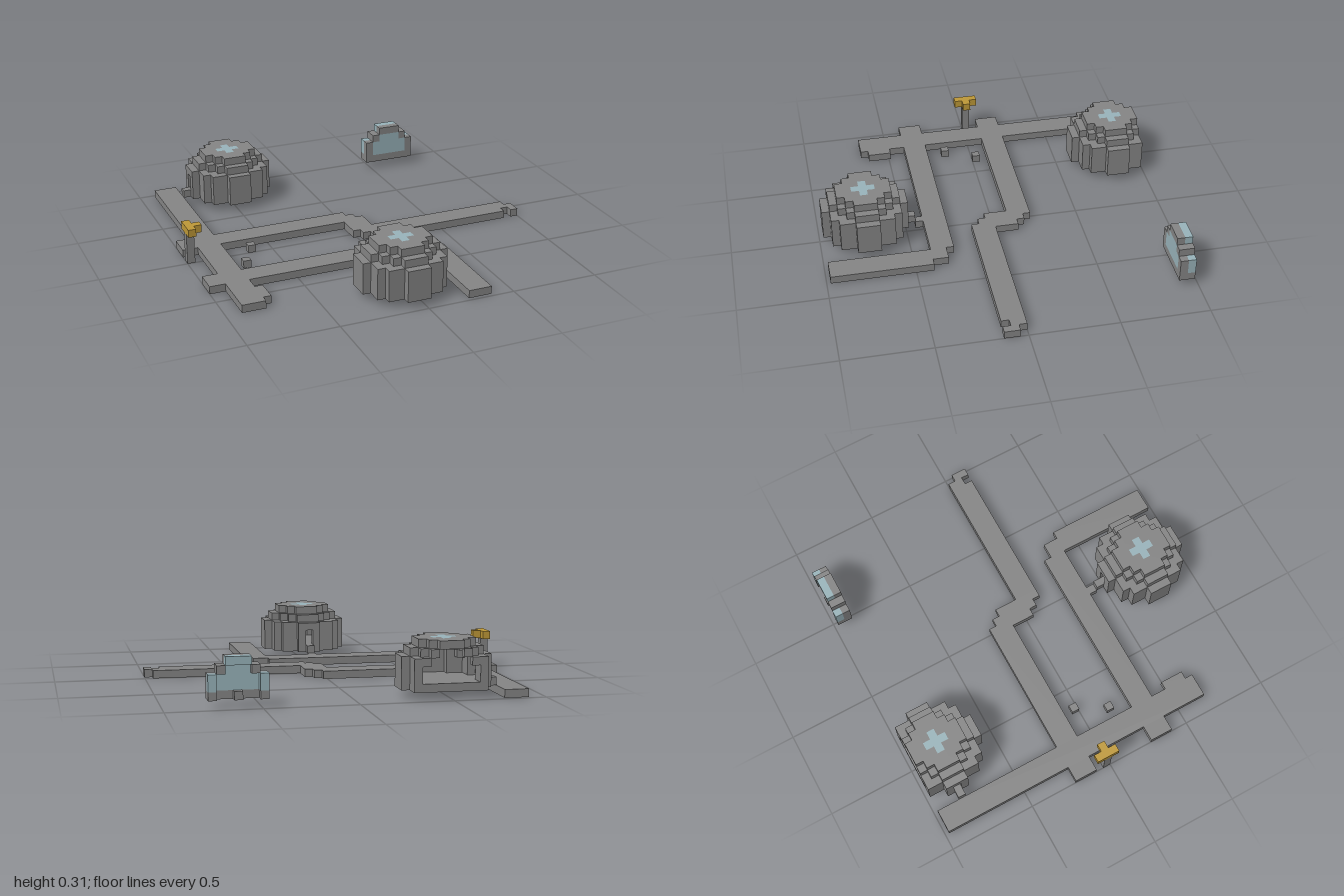
import * as THREE from 'three';
import { mergeGeometries } from 'three/addons/utils/BufferGeometryUtils.js';

const U = 2 / 45; // one block
const stone = new THREE.MeshStandardMaterial({ color: 0x868686 });
stone.name = 'stone';
const glass = new THREE.MeshStandardMaterial({ color: 0x9ab5bc });
glass.name = 'glass';
const gold = new THREE.MeshStandardMaterial({ color: 0xc09a38 });
gold.name = 'gold';

// box between two block corners: [x0, x1, z0, z1, y0, y1]
function block([x0, x1, z0, z1, y0 = 0, y1 = 1]) {
  const g = new THREE.BoxGeometry((x1 - x0) * U, (y1 - y0) * U, (z1 - z0) * U);
  g.translate(-1 + (x0 + x1) / 2 * U, (y0 + y1) / 2 * U, (-22 + (z0 + z1) / 2) * U);
  return g;
}

function part(name, material, boxes) {
  const mesh = new THREE.Mesh(mergeGeometries(boxes.map(block)), material);
  mesh.name = name;
  return mesh;
}

const cell = (x, y, z) => [x, x + 1, z, z + 1, y, y + 1];
const inDisc = (x, z, r) => x * x + z * z <= r * r + 1;

// hollow stepped dome on a floor disc, with a doorway and a skylight
function dome(name, cx, cz, isDoor) {
  const walls = [], skylight = [];
  const radii = { 1: 5, 2: 5, 3: 5, 4: 5, 5: 4, 6: 3, 7: 0 };
  for (let y = 1; y <= 6; y++) {
    const r = radii[y];
    for (let dz = -r; dz <= r; dz++) {
      for (let dx = -r; dx <= r; dx++) {
        if (!inDisc(dx, dz, r) || cz + dz < 0) continue;
        const rim = [[1, 0], [-1, 0], [0, 1], [0, -1]].some(([a, b]) => !inDisc(dx + a, dz + b, r));
        const solid = y === 1 || y === 6 || rim || !inDisc(dx, dz, radii[y + 1]);
        if (!solid || (y > 1 && y < 4 && isDoor(dx, dz))) continue;
        const lit = y === 6 && Math.abs(dx) + Math.abs(dz) <= 1;
        (lit ? skylight : walls).push(cell(cx + dx, y, cz + dz));
      }
    }
  }
  const group = new THREE.Group();
  group.name = name;
  group.add(part('domeWalls', stone, walls), part('skylight', glass, skylight));
  return group;
}

export function createModel() {
  const model = new THREE.Group();

  // street network on the ground
  model.add(part('mainStreet', stone, [[2, 5, 0, 37], [5, 6, 33, 36]]));
  model.add(part('crossStreet', stone, [
    [0, 2, 17, 20], [5, 22, 17, 20], [22, 23, 17, 23], [23, 24, 18, 24], [24, 25, 19, 25],
    [25, 43, 22, 25], [43, 44, 22, 24], [44, 45, 23, 25],
  ]));
  model.add(part('frontStreet', stone, [
    [0, 2, 28, 31], [5, 28, 28, 31], [28, 30, 29, 31], [28, 31, 31, 44],
  ]));
  model.add(part('looseStones', stone, [cell(8, 0, 21), cell(6, 0, 25)]));

  // round houses and their doorsteps
  model.add(dome('frontHouse', 21, 38, (x, z) => x === 0 && z === -5));
  model.add(dome('backHouse', 11, 3, (x, z) => x === -5 && z === 0));
  model.add(part('doorsteps', stone, [cell(21, 0, 31), cell(21, 1, 32), cell(5, 1, 3)]));
  model.add(part('indoorLamp', gold, [cell(7, 4, 3)]));

  // street lamp
  model.add(part('lampPost', stone, [[0, 1, 21, 22, 0, 4]]));
  model.add(part('lampHead', gold, [[0, 1, 20, 23, 4, 5], [1, 2, 21, 22, 4, 5]]));

  // small glazed house, open at the back
  const frame = [[33, 40, 1, 2, 1, 2], cell(36, 1, 0), [35, 38, 1, 2, 5, 6]];
  const panes = [[34, 39, 1, 2, 2, 4], [35, 38, 1, 2, 4, 5], [35, 38, 0, 1, 5, 6]];
  for (const s of [-1, 1]) {
    const side = 36 + 3 * s, shoulder = 36 + 2 * s;
    frame.push([side, side + 1, 1, 2, 2, 4], cell(side, 1, 0), [shoulder, shoulder + 1, 0, 2, 4, 5]);
    panes.push([side, side + 1, 0, 1, 2, 4]);
  }
  model.add(part('glassHouseFrame', stone, frame));
  model.add(part('glassHousePanes', glass, panes));
  return model;
}
